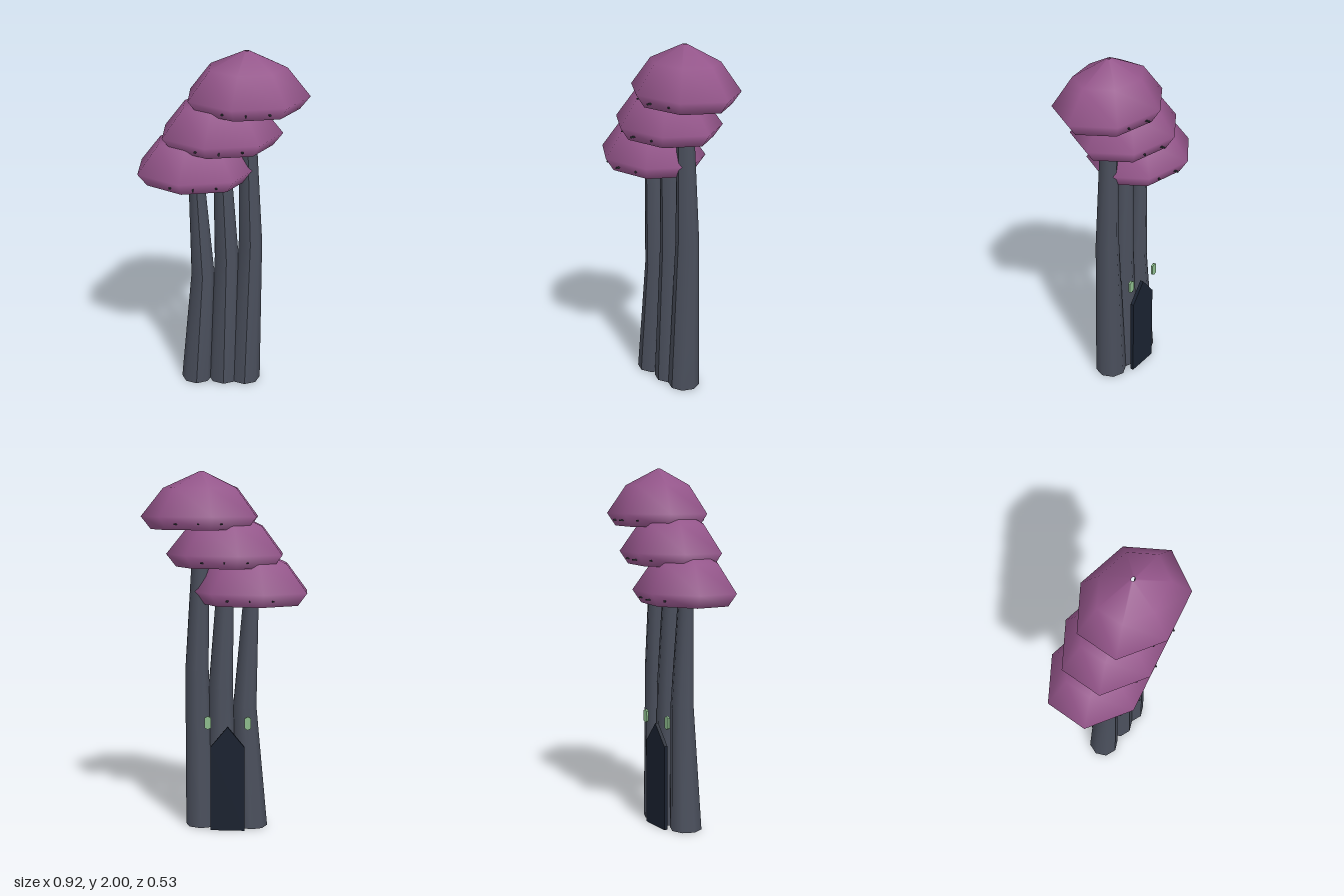
import * as THREE from 'three';

const mat = (color) => new THREE.MeshStandardMaterial({ color, side: THREE.DoubleSide });
const capMat = mat(0x94558a);
const stemMat = mat(0x4a4f5c);
const ribMat = mat(0x33363c);
const doorMat = mat(0x1a2230);
const windowMat = mat(0x8fbf8f);

function add(parent, name, geometry, material) {
  const mesh = new THREE.Mesh(geometry, material);
  mesh.name = name;
  parent.add(mesh);
  return mesh;
}

// Hollow stalk: tapered tube bent at its middle ring. rings = [centre x, y, radius], bottom to top
function stemGeometry(rings) {
  const g = new THREE.CylinderGeometry(1, 1, 2, 8, 2, true);
  const p = g.attributes.position;
  for (let i = 0; i < p.count; i++) {
    const [cx, y, r] = rings[Math.round(p.getY(i) + 1)];
    p.setXYZ(i, cx + p.getX(i) * r, y, p.getZ(i) * r);
  }
  g.computeVertexNormals();
  return g;
}

// Seven-sided hollow cap, narrower in depth, with its apex at y = 0
function capGeometry() {
  const profile = [[0.285, -0.315], [0.34, -0.245], [0.215, -0.09], [0.013, 0]]
    .map(([r, y]) => new THREE.Vector2(r, y));
  return new THREE.LatheGeometry(profile, 7, Math.PI / 2).scale(1, 1, 0.8);
}

// Flat outline given thickness, centred on z = 0
function plate(points, depth) {
  const shape = new THREE.Shape(points.map(([x, y]) => new THREE.Vector2(x, y)));
  return new THREE.ExtrudeGeometry(shape, { depth, bevelEnabled: false }).translate(0, 0, -depth / 2);
}

function mushroom(rings, capX, apexY) {
  const group = new THREE.Group();
  group.name = 'mushroom';
  add(group, 'stem', stemGeometry(rings), stemMat);
  const [topX, topY, topR] = rings[2];
  const lid = add(group, 'stemTop', new THREE.CircleGeometry(topR, 8), stemMat);
  lid.rotation.x = -Math.PI / 2;
  lid.position.set(topX, topY, 0);

  const head = new THREE.Group();
  head.name = 'cap';
  head.position.set(capX, apexY, 0);
  add(head, 'capShell', capGeometry(), capMat);
  // Thin ribs radiating under the cap
  for (let i = 0; i < 12; i++) {
    const rib = add(head, 'rib', new THREE.BoxGeometry(0.22, 0.008, 0.008).translate(0.145, 0, 0), ribMat);
    rib.position.y = -0.282;
    rib.rotation.y = (i * Math.PI) / 6;
  }
  group.add(head);
  return group;
}

export function createModel() {
  const model = new THREE.Group();
  model.name = 'mushroomTower';

  // Three stalks leaning together, stepping down toward -x
  model.add(
    mushroom([[0.125, 0, 0.09], [0.15, 0.9, 0.066], [0.12, 1.8, 0.04]], 0.12, 2),
    mushroom([[0, 0, 0.09], [0.016, 0.8, 0.068], [-0.02, 1.6, 0.04]], -0.02, 1.793),
    mushroom([[-0.16, 0, 0.09], [-0.12, 0.69, 0.066], [-0.157, 1.38, 0.04]], -0.157, 1.588),
  );

  // Pointed door at the back
  const door = add(model, 'door',
    plate([[-0.095, 0], [0.095, 0], [0.095, 0.48], [0, 0.595], [-0.095, 0.48]], 0.02), doorMat);
  door.position.set(-0.03, 0, -0.11);

  // Small lit windows above the door
  for (const x of [0.08, -0.143]) {
    const w = add(model, 'window',
      plate([[-0.018, -0.028], [0, -0.038], [0.018, -0.028], [0.018, 0.028], [0, 0.038], [-0.018, 0.028]], 0.012),
      windowMat);
    w.position.set(x, 0.617, -0.113);
  }
  return model;
}
